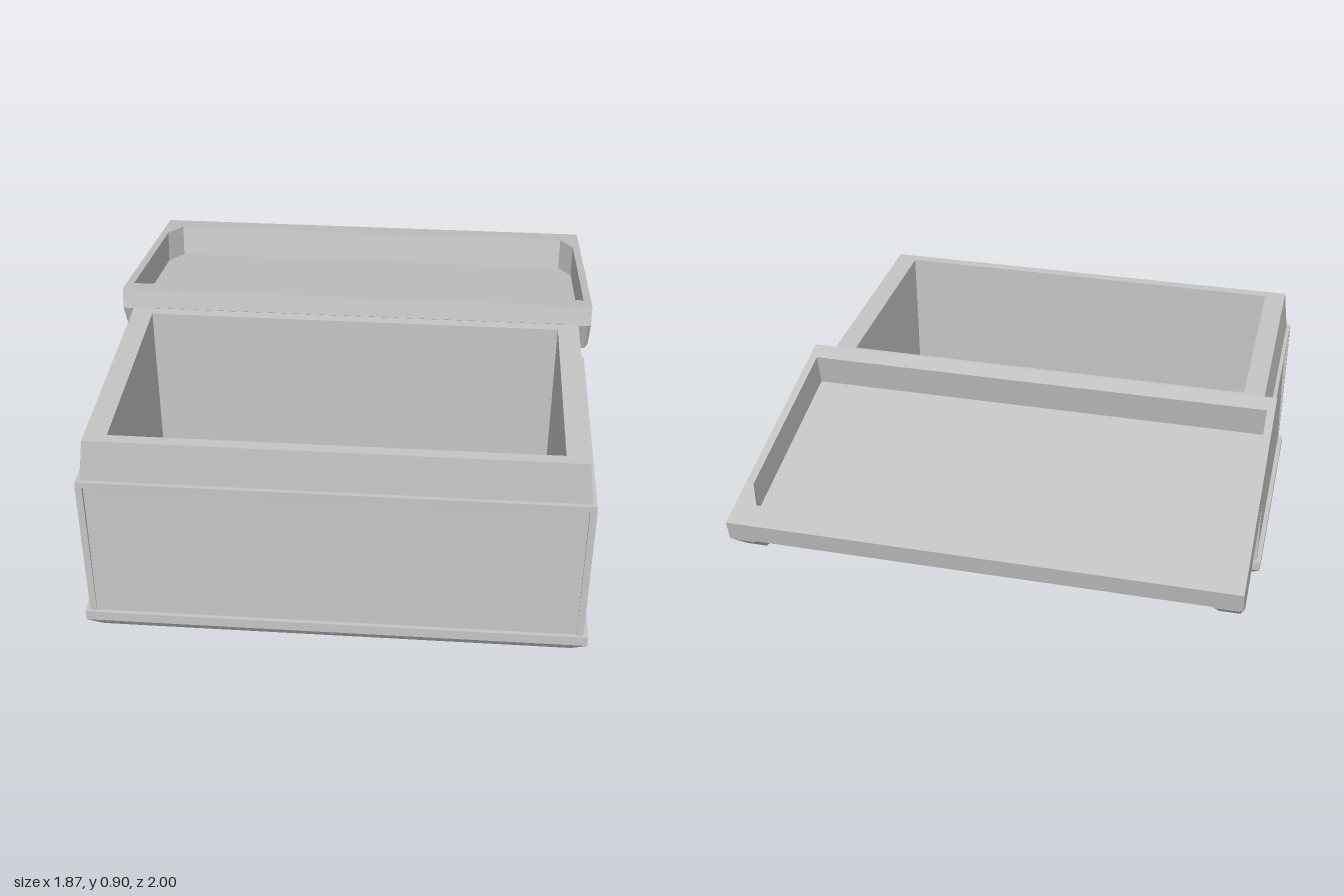
import * as THREE from 'three';

const grey = new THREE.MeshStandardMaterial({ color: 0xc4c4c4, flatShading: true });
grey.name = 'plain grey';

// Skins a row of rings, each counter-clockwise seen from the direction of travel
function loft(rings, { closed = true, capStart = false, capEnd = false } = {}) {
  const pos = [];
  const ab = new THREE.Vector3(), ac = new THREE.Vector3();
  const tri = (a, b, c) => {
    ab.subVectors(b, a);
    ac.subVectors(c, a);
    if (ab.cross(ac).length() > 1e-9) for (const p of [a, b, c]) pos.push(p.x, p.y, p.z);
  };
  const n = rings[0].length;
  for (let i = 0; i + 1 < rings.length; i++) {
    const r = rings[i], s = rings[i + 1];
    for (let j = 0; j < (closed ? n : n - 1); j++) {
      const k = (j + 1) % n;
      tri(r[j], r[k], s[k]);
      tri(r[j], s[k], s[j]);
    }
  }
  const last = rings[rings.length - 1];
  for (let j = 1; j + 1 < n; j++) {
    if (capStart) tri(rings[0][0], rings[0][j + 1], rings[0][j]);
    if (capEnd) tri(last[0], last[j], last[j + 1]);
  }
  const g = new THREE.BufferGeometry();
  g.setAttribute('position', new THREE.Float32BufferAttribute(pos, 3));
  g.computeVertexNormals();
  return g;
}

function add(parent, name, geometry) {
  const mesh = new THREE.Mesh(geometry, grey);
  mesh.name = name;
  parent.add(mesh);
  return mesh;
}

// Horizontal rectangle of half sizes hx, hz at height y
const rect = (hx, hz, y) =>
  [[1, 1], [1, -1], [-1, -1], [-1, 1]].map(([i, j]) => new THREE.Vector3(i * hx, y, j * hz));

function createBox() {
  const box = new THREE.Group();
  box.name = 'box';
  box.position.z = 0.5;

  // Sloped foot and bottom moulding
  add(box, 'base', loft([
    rect(0.88, 0.465, 0), rect(0.935, 0.498, 0.045),
    rect(0.935, 0.498, 0.085), rect(0.89, 0.46, 0.085),
  ], { capStart: true }));

  // Walls, top band, tapered neck, rim and hollow inside
  add(box, 'body', loft([
    rect(0.916, 0.483, 0.085), rect(0.903, 0.472, 0.657),
    rect(0.917, 0.487, 0.657), rect(0.917, 0.487, 0.682),
    rect(0.902, 0.472, 0.682), rect(0.882, 0.459, 0.845),
    rect(0.8, 0.417, 0.845), rect(0.8, 0.417, 0.08),
  ], { capEnd: true }));

  // Corner posts framing the recessed panels
  for (const sx of [1, -1]) for (const sz of [1, -1]) {
    const post = add(box, 'cornerPost', new THREE.BoxGeometry(0.025, 0.575, 0.027));
    post.position.set(sx * 0.906, 0.37, sz * 0.4735);
  }
  return box;
}

function createLid() {
  const lid = new THREE.Group();
  lid.name = 'lid';
  lid.position.set(0, 0.897, -0.015);
  lid.rotation.x = -0.196;

  // Cross-sections, as distance from the hinge and height
  const length = 1.004;
  const ribProfile = [[0, 0], [0, -0.081], [0.072, -0.2], [0.918, -0.2], [length, -0.086], [length, 0]];
  const panelProfile = [[0, 0], [0, -0.077], [0.082, -0.186], [0.906, -0.186], [length, -0.08], [length, 0]];
  const section = (profile, x) => profile.map(([u, v]) => new THREE.Vector3(x, v, -u));

  // Outer shell with a raised rib at each end
  const half = [[0.935, panelProfile], [0.921, ribProfile], [0.845, ribProfile], [0.83, panelProfile]];
  const stations = [
    ...half.map(([x, p]) => section(p, -x)),
    ...half.slice().reverse().map(([x, p]) => section(p, x)),
  ];
  add(lid, 'lidShell', loft(stations, { closed: false, capStart: true, capEnd: true }));

  // Flat rim and the cavity with two cut corners
  const plan = (right, v) => [...right, ...right.slice().reverse().map(([x, u]) => [-x, u])]
    .map(([x, u]) => new THREE.Vector3(x, v, -u));
  const outline = [[0.935, 0], [0.935, length], [0.935, length]];
  const opening = [[0.905, 0.076], [0.905, 0.8], [0.855, 0.902]];
  add(lid, 'lidCavity', loft(
    [plan(outline, 0), plan(opening, 0), plan(opening, -0.13)], { capEnd: true }));
  return lid;
}

export function createModel() {
  const model = new THREE.Group();
  model.name = 'openChest';
  model.add(createBox(), createLid());
  return model;
}
